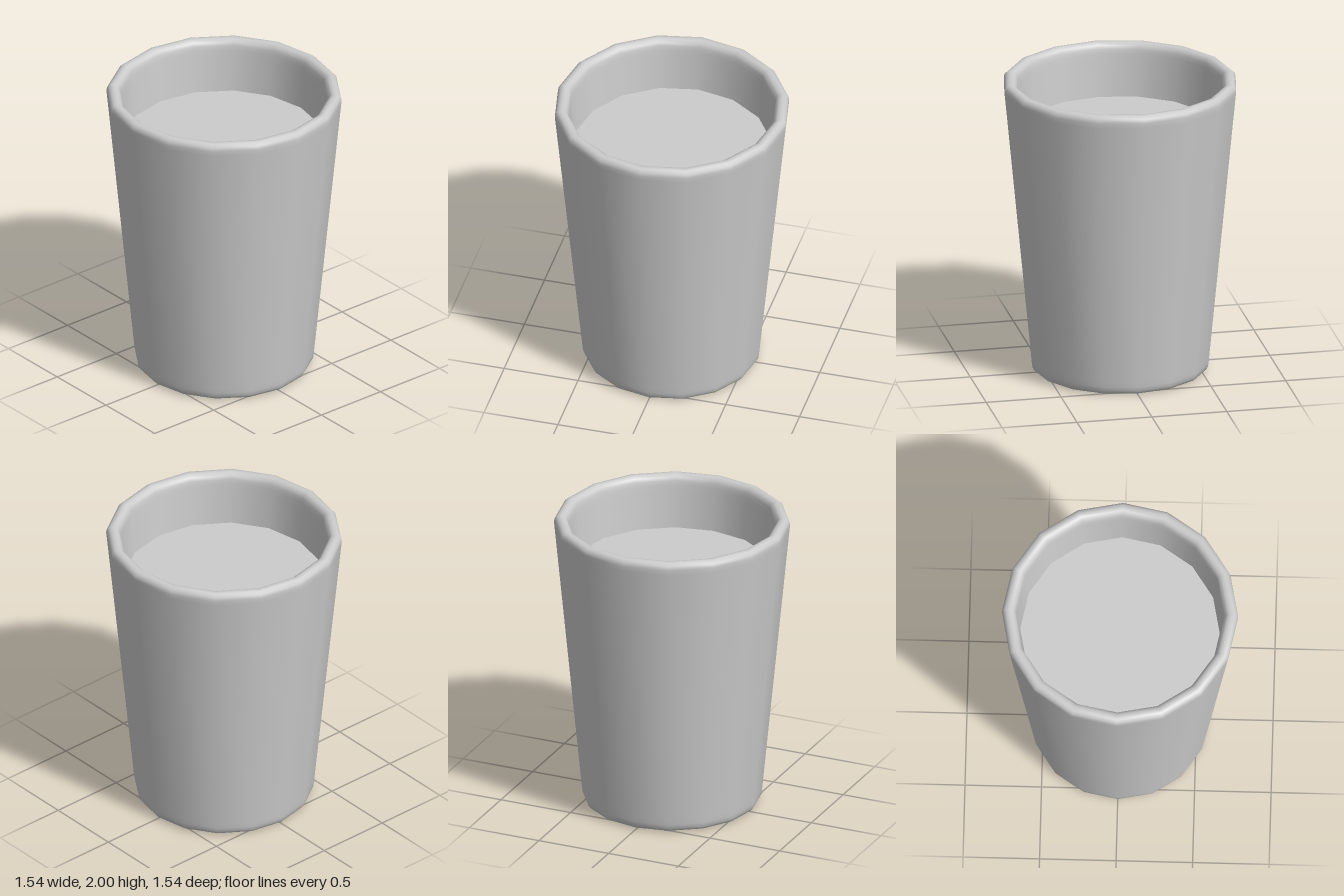
import * as THREE from 'three';

const SIDES = 16;

export function createModel() {
  const model = new THREE.Group();
  model.name = 'cup';
  const material = new THREE.MeshStandardMaterial({ color: 0xcccccc });

  // Cup wall: underside, rounded foot, tapered outside, rounded rim, inside, floor
  const profile = [
    [0, 0], [0.53, 0], [0.545, 0.002], [0.57, 0.012], [0.583, 0.032], [0.588, 0.06],
    [0.592, 0.1], [0.768, 1.92], [0.772, 1.955], [0.767, 1.98], [0.75, 1.996], [0.73, 2],
    [0.71, 1.997], [0.692, 1.983], [0.683, 1.96], [0.679, 1.93],
    [0.675, 1.89], [0.51, 0.13], [0.5, 0.1], [0.47, 0.09], [0, 0.09],
  ].map(([r, y]) => new THREE.Vector2(r, y));
  const cup = new THREE.Mesh(new THREE.LatheGeometry(profile, SIDES), material);
  cup.name = 'cupWall';
  model.add(cup);

  // Flat surface of the drink, meeting the inside wall
  const drink = new THREE.Mesh(new THREE.CircleGeometry(0.652, SIDES), material);
  drink.name = 'drinkSurface';
  drink.rotation.x = -Math.PI / 2;
  drink.position.y = 1.64;
  model.add(drink);

  return model;
}
